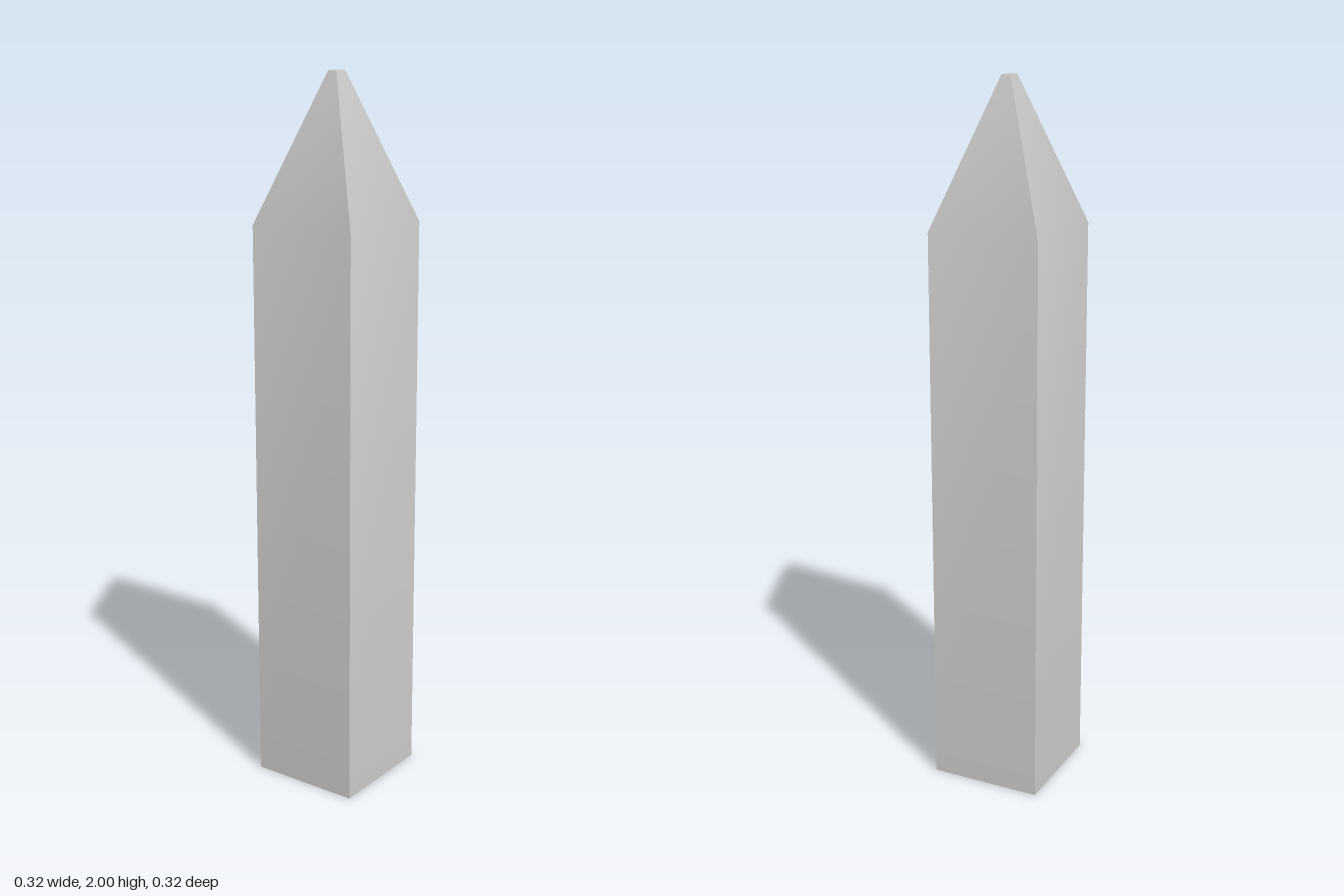
import * as THREE from 'three';
import { toCreasedNormals } from 'three/addons/utils/BufferGeometryUtils.js';

// Rectangular cross-sections, bottom to top: [y, half width, half depth]
const SECTIONS = [
  [0, 0.16, 0.16],
  [1.6, 0.16, 0.16],
  [2, 0.013, 0.02],
];
const CORNERS = [[-1, 1], [1, 1], [1, -1], [-1, -1]];

// Joins the sections into a shell, open below and capped on top
function loftShell(sections) {
  const positions = [];
  const index = [];
  for (const [y, hx, hz] of sections) {
    for (const [sx, sz] of CORNERS) positions.push(sx * hx, y, sz * hz);
  }
  for (let s = 0; s < sections.length - 1; s++) {
    for (let i = 0; i < 4; i++) {
      const a = s * 4 + i;
      const b = s * 4 + (i + 1) % 4;
      index.push(a, b, b + 4, a, b + 4, a + 4);
    }
  }
  const t = (sections.length - 1) * 4;
  index.push(t, t + 1, t + 2, t, t + 2, t + 3);

  const geometry = new THREE.BufferGeometry();
  geometry.setAttribute('position', new THREE.Float32BufferAttribute(positions, 3));
  geometry.setIndex(index);
  // Soft shoulder, sharp corners and tip
  return toCreasedNormals(geometry, Math.PI / 6);
}

export function createModel() {
  const group = new THREE.Group();
  group.name = 'pointedPost';

  const material = new THREE.MeshStandardMaterial({ color: 0xcccccc, side: THREE.DoubleSide });
  const post = new THREE.Mesh(loftShell(SECTIONS), material);
  post.name = 'post';
  group.add(post);

  return group;
}
